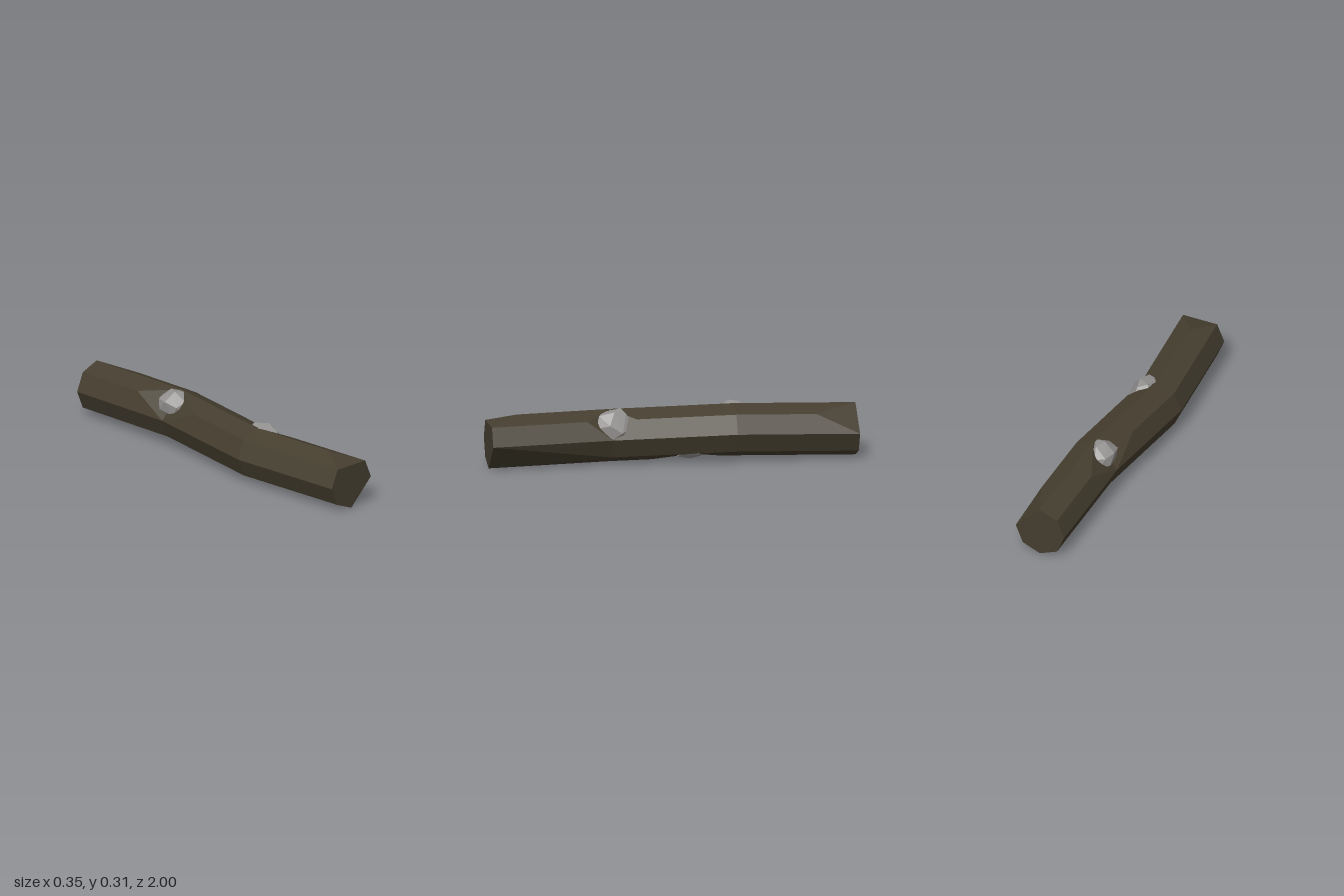
import * as THREE from 'three';
import { ConvexGeometry } from 'three/addons/geometries/ConvexGeometry.js';
import { mergeGeometries } from 'three/addons/utils/BufferGeometryUtils.js';

const RADIUS = 0.1434;

// Bent centre line of the log: [z, x, y]
const AXIS = [[1, 0.032, 0.145], [0.333, -0.032, 0.145], [-0.333, 0.032, 0.165], [-1, 0.032, 0.145]];

function centreAt(z) {
  let i = 0;
  while (i < AXIS.length - 2 && z < AXIS[i + 1][0]) i++;
  const [z0, x0, y0] = AXIS[i], [z1, x1, y1] = AXIS[i + 1];
  const t = (z - z0) / (z1 - z0);
  return new THREE.Vector3(x0 + (x1 - x0) * t, y0 + (y1 - y0) * t, z);
}

// Corner k of the eight-sided section at z (0 = +x, 2 = top, 6 = bottom)
function corner(k, z) {
  const a = k * Math.PI / 4;
  return centreAt(z).add(new THREE.Vector3(Math.cos(a) * RADIUS, Math.sin(a) * RADIUS, 0));
}

// Full section with the listed corners chopped off
function ring(z, chopped = []) {
  return [0, 1, 2, 3, 4, 5, 6, 7].filter((k) => !chopped.includes(k)).map((k) => corner(k, z));
}

// Convex length of log between two rings; cuts are where a chopped edge starts
function segment(ringA, ringB, cuts) {
  return new ConvexGeometry([...ringA, ...ringB, ...cuts.map(([k, z]) => corner(k, z))]);
}

// Faceted stone, pressed into the log: angle is the direction it faces
function stone(name, material, seed, z, angle, depth, side, size) {
  let s = seed;
  const rand = () => (s = (s * 16807) % 2147483647) / 2147483647;
  const n = 17, points = [];
  for (let i = 0; i < n; i++) {
    const u = 1 - 2 * (i + 0.5) / n, r = Math.sqrt(1 - u * u);
    const a = i * 2.39996 + rand() * 0.5, k = 0.95 + rand() * 0.14;
    points.push(new THREE.Vector3(
      u * size[0] * k, Math.cos(a) * r * size[1] * k, Math.sin(a) * r * size[2] * k));
  }
  const mesh = new THREE.Mesh(new ConvexGeometry(points), material);
  mesh.name = name;
  mesh.rotation.z = angle;
  const out = new THREE.Vector3(Math.cos(angle), Math.sin(angle), 0);
  const across = new THREE.Vector3(-out.y, out.x, 0);
  mesh.position.copy(centreAt(z)).addScaledVector(out, depth).addScaledVector(across, side);
  return mesh;
}

export function createModel() {
  const group = new THREE.Group();
  group.name = 'logWithStones';

  const bark = new THREE.MeshStandardMaterial({ color: 0x453e2f });
  bark.name = 'darkBark';
  const grey = new THREE.MeshStandardMaterial({ color: 0x959391 });
  grey.name = 'greyStone';

  // Log, with chipped ends and a flat notch under each stone
  const rings = [
    ring(1, [2, 7]), ring(0.333, [1]), ring(-0.1, [6]), ring(-0.333, [3]), ring(-1, [1]),
  ];
  const cuts = [
    [[2, 0.84], [1, 0.47]],
    [[1, 0.2], [6, 0.1]],
    [[6, -0.285]],
    [[3, -0.57], [1, -0.77]],
  ];
  const log = new THREE.Mesh(
    mergeGeometries(cuts.map((c, i) => segment(rings[i], rings[i + 1], c))), bark);
  log.name = 'log';
  group.add(log);

  // Stones on the upper left, upper right and underside
  group.add(
    stone('upperLeftStone', grey, 11, 0.32, Math.PI / 4, 0.1, 0, [0.072, 0.1, 0.105]),
    stone('upperRightStone', grey, 29, -0.333, Math.PI * 0.75, 0.1, -0.015, [0.062, 0.085, 0.1]),
    stone('lowerStone', grey, 47, -0.09, -Math.PI * 0.46, 0.1, 0.02, [0.045, 0.085, 0.09]),
  );
  return group;
}
